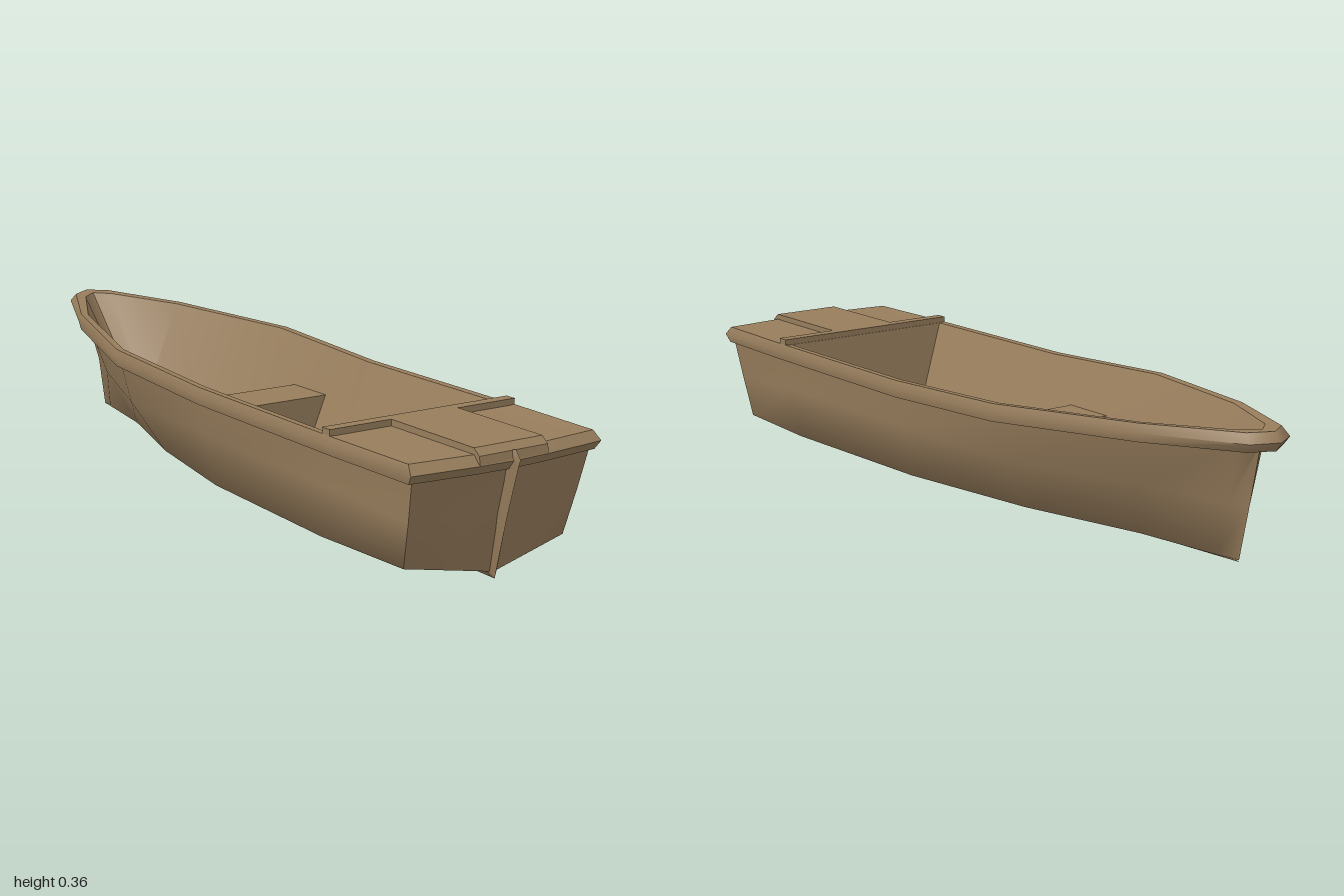
import * as THREE from 'three';
import { toCreasedNormals } from 'three/addons/utils/BufferGeometryUtils.js';

const wood = new THREE.MeshStandardMaterial({ color: 0x977d5c });
wood.name = 'brown wood';

// Mirrors a half outline (bow centre -> left side -> stern centre) into a closed ring
const mirror = (half) => [...half, ...half.slice(1, -1).reverse().map(([x, y, z]) => [-x, y, z])];

// Parts of a ring: both sides joined round the bow, and the stern alone
const sidesOf = (half) => [...mirror(half).slice(10), ...half.slice(0, 7)];
const sternOf = (half) => mirror(half).slice(6, 11);

// Joins successive lines of points with quads
function loft(lines, closed, crease = 0.6) {
  const pos = [];
  const tri = (a, b, c) => {
    const [A, B, C] = [a, b, c].map((p) => new THREE.Vector3(...p));
    if (B.sub(A).cross(C.sub(A)).length() > 1e-9) pos.push(...a, ...b, ...c);
  };
  for (let r = 0; r < lines.length - 1; r++) {
    const a = lines[r], b = lines[r + 1], n = a.length;
    for (let i = 0; i < (closed ? n : n - 1); i++) {
      const j = (i + 1) % n;
      tri(a[i], b[i], a[j]);
      tri(a[j], b[i], b[j]);
    }
  }
  const geo = new THREE.BufferGeometry();
  geo.setAttribute('position', new THREE.Float32BufferAttribute(pos, 3));
  return toCreasedNormals(geo, crease);
}

// Shrinks a half outline by d at the sides and more at the ends, and shifts its height by dy
const inset = (half, d, dy) => half.map(([x, y, z]) => [
  Math.max(0, x - d), y + dy, Math.abs(z) > 0.9 ? z - Math.sign(z) * d * 2.5 : z]);

export function createModel() {
  const boat = new THREE.Group();
  boat.name = 'boat';
  const add = (name, geo) => {
    const mesh = new THREE.Mesh(geo, wood);
    mesh.name = name;
    boat.add(mesh);
    return mesh;
  };

  // Half outlines, bow to stern
  const chine = [[0, 0.035, -0.88], [0.015, 0.035, -0.82], [0.05, 0.037, -0.6], [0.145, 0.042, -0.28],
    [0.22, 0.05, 0.1], [0.247, 0.055, 0.6], [0.23, 0.055, 0.89], [0.1, 0.035, 0.91], [0, 0.018, 0.92]];
  const bilge = [[0, 0.17, -0.908], [0.025, 0.17, -0.865], [0.11, 0.18, -0.66], [0.235, 0.185, -0.3],
    [0.248, 0.185, 0.1], [0.25, 0.18, 0.64], [0.242, 0.17, 0.92], [0.1, 0.16, 0.934], [0, 0.16, 0.942]];
  const sheer = [[0, 0.32, -0.937], [0.042, 0.318, -0.905], [0.145, 0.305, -0.69], [0.26, 0.288, -0.305],
    [0.26, 0.267, 0.1], [0.26, 0.267, 0.66], [0.252, 0.267, 0.942], [0.1, 0.267, 0.957], [0, 0.267, 0.963]];
  const rail = [[0, 0.357, -1], [0.062, 0.355, -0.965], [0.17, 0.346, -0.71], [0.277, 0.329, -0.31],
    [0.277, 0.31, 0.1], [0.277, 0.31, 0.67], [0.27, 0.31, 0.962], [0.1, 0.31, 0.98], [0, 0.31, 0.984]];
  const coaming = [[0, 0.354, -0.94], [0.043, 0.352, -0.905], [0.145, 0.344, -0.7], [0.25, 0.328, -0.31],
    [0.25, 0.309, 0.1], [0.25, 0.309, 0.63], [0.25, 0.309, 0.63], [0.1, 0.309, 0.63], [0, 0.309, 0.63]];
  const sole = [[0, 0.1, -0.69], [0.03, 0.1, -0.675], [0.1, 0.1, -0.5], [0.165, 0.1, -0.2],
    [0.165, 0.1, 0.1], [0.165, 0.1, 0.6], [0.165, 0.1, 0.6], [0.1, 0.1, 0.6], [0, 0.1, 0.6]];
  const keelLine = chine.map(([, , z], i) => [0, i < 3 ? 0.034 - i * 0.006 : 0.015, i > 5 ? 0.92 : z]);
  const soleLine = sole.map(([, y, z]) => [0, y, z]);
  const railTop = inset(rail, 0.008, 0);

  // Shell: smooth sides and bottom, separate flat stern
  add('hull', loft([keelLine, chine, bilge, sheer].map(sidesOf), false, 1.45));
  add('transom', loft([keelLine, chine, bilge, sheer].map(sternOf), false, 1.2));

  // Rounded rail, then its flat top, which widens into the stern deck
  add('gunwale', loft([sheer, inset(rail, 0.006, -0.044), inset(rail, 0, -0.022), railTop].map(mirror), true, 0.9));
  add('railTop', loft([railTop, coaming].map(mirror), true));

  // Inner walls, bulkhead and floor
  add('cockpit', loft([coaming, sole, soleLine].map(mirror), true));

  // Keel running up into the stern post: a thin wedge along the centreline, [half width, y, z]
  const ridge = [[0, 0.03, -0.882], [0, 0.006, -0.35], [0, 0.002, 0.1], [0, 0, 0.925],
    [0, 0.15, 0.96], [0, 0.275, 0.994], [0, 0.292, 1], [0, 0.312, 0.984]];
  const root = [[0.002, 0.034, -0.87], [0.012, 0.018, -0.35], [0.014, 0.017, 0.1], [0.014, 0.016, 0.915],
    [0.012, 0.16, 0.938], [0.01, 0.265, 0.955], [0.01, 0.285, 0.965], [0.01, 0.311, 0.962]];
  add('keel', loft([root.map(([x, y, z]) => [-x, y, z]), ridge, root], false, 0.5));

  // Thwart with ends sloped to the inner walls
  const shape = (pts) => new THREE.Shape(pts.map((p) => new THREE.Vector2(...p)));
  const seat = shape([[-0.165, 0.1], [0.165, 0.1], [0.206, 0.2], [-0.206, 0.2]]);
  add('bench', new THREE.ExtrudeGeometry(seat, { depth: 0.145, bevelEnabled: false })).position.z = -0.175;

  // Raised T on the stern deck; the middle panel slopes down over the stern rail
  add('deckStrip', new THREE.BoxGeometry(0.538, 0.02, 0.03)).position.set(0, 0.315, 0.647);
  const panel = shape([[0.66, 0.305], [0.95, 0.29], [0.981, 0.29], [0.977, 0.31], [0.958, 0.325], [0.66, 0.325]]);
  const panelGeo = new THREE.ExtrudeGeometry(panel, { depth: 0.194, bevelEnabled: false });
  add('deckPanel', panelGeo.rotateY(-Math.PI / 2).translate(0.097, 0, 0));

  return boat;
}
